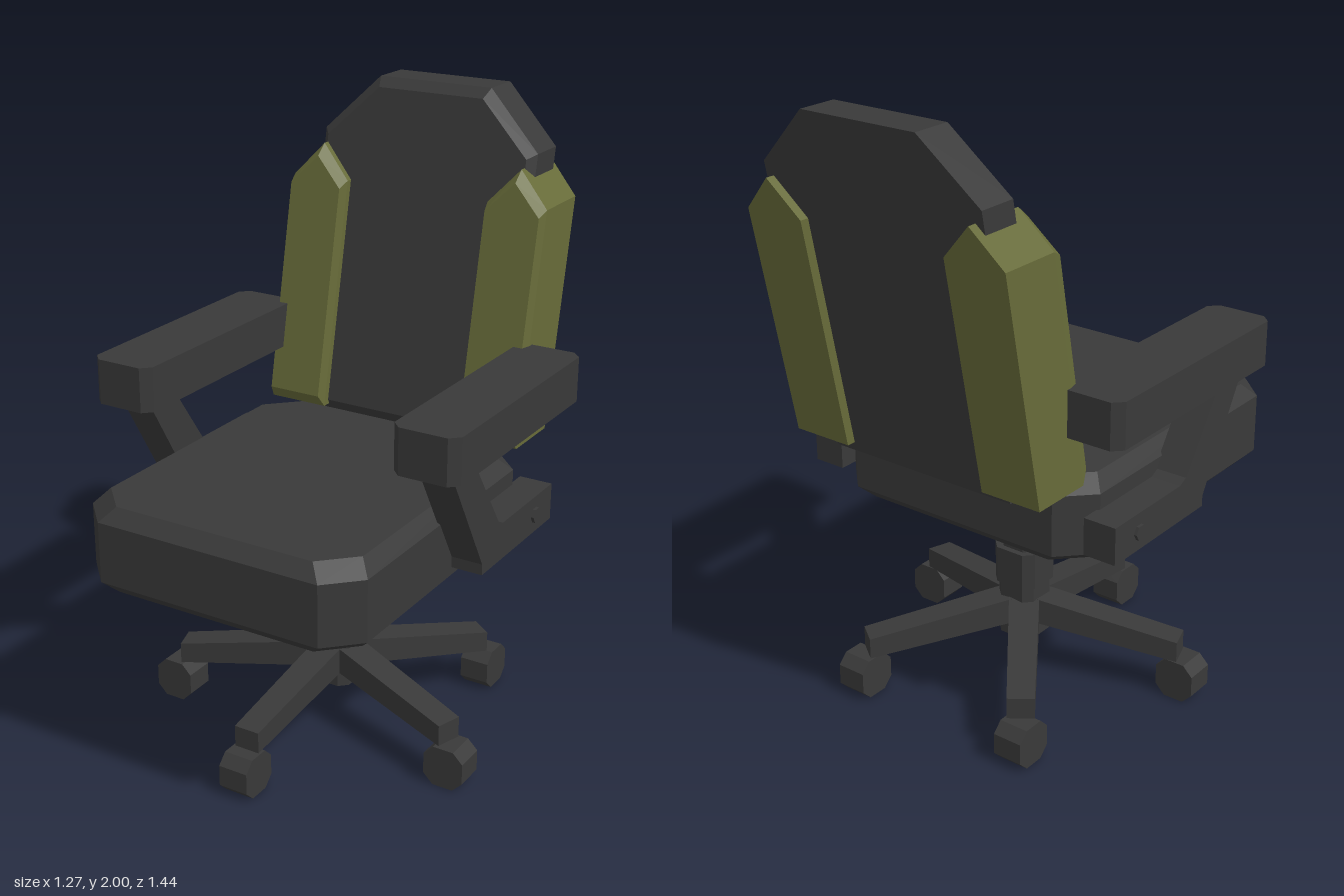
import * as THREE from 'three';

const charcoal = new THREE.MeshStandardMaterial({ name: 'charcoal', color: 0x393939 });
const olive = new THREE.MeshStandardMaterial({ name: 'olive', color: 0x676b39 });

// Closed faceted solid through convex rings of [x, y, z], each counter-clockwise seen from the last ring's side
function loft(rings) {
  const pos = [];
  const tri = (a, b, c) => pos.push(...a, ...b, ...c);
  const n = rings[0].length;
  for (let r = 0; r < rings.length - 1; r++) {
    for (let i = 0; i < n; i++) {
      const j = (i + 1) % n;
      tri(rings[r][i], rings[r][j], rings[r + 1][j]);
      tri(rings[r][i], rings[r + 1][j], rings[r + 1][i]);
    }
  }
  const first = rings[0], last = rings[rings.length - 1];
  for (let i = 1; i < n - 1; i++) {
    tri(first[0], first[i + 1], first[i]);
    tri(last[0], last[i], last[i + 1]);
  }
  const g = new THREE.BufferGeometry();
  g.setAttribute('position', new THREE.Float32BufferAttribute(pos, 3));
  g.computeVertexNormals();
  return g;
}

// Upright block with cut corners; layers are [height, inset]
function cutBlock(hw, hd, cut, layers) {
  return loft(layers.map(([y, inset]) => {
    const w = hw - inset, d = hd - inset;
    return [
      [w, d - cut], [w, -d + cut], [w - cut, -d], [-w + cut, -d],
      [-w, -d + cut], [-w, d - cut], [-w + cut, d], [w - cut, d],
    ].map(([x, z]) => [x, y, z]);
  }));
}

// Ring in the backrest's leaning plane; z is the depth at y = 0.9
const leanRing = (points, z) => points.map(([x, y]) => [x, y, z - 0.2 * (y - 0.9)]);

export function createModel() {
  const model = new THREE.Group();
  model.name = 'officeChair';
  const add = (name, geometry, material = charcoal, x = 0, y = 0, z = 0) => {
    const mesh = new THREE.Mesh(geometry, material);
    mesh.name = name;
    mesh.position.set(x, y, z);
    model.add(mesh);
    return mesh;
  };

  // Seat cushion with bevelled rims
  add('seat', cutBlock(0.48, 0.545, 0.1, [[0.65, 0.04], [0.69, 0], [0.885, 0], [0.93, 0.04]]), charcoal, 0, 0, 0.175);

  // Backrest centre panel
  const panel = (w, bottom) => [[-w, bottom], [w, bottom], [w, 1.755], [-w, 1.755]];
  add('backrest', loft([
    leanRing(panel(0.33, 0.9), -0.5),
    leanRing(panel(0.33, 0.9), -0.375),
    leanRing(panel(0.33, 0.945), -0.343),
  ]));

  // Headrest with angled shoulders and a bevelled front rim
  const head = (w, shoulder, topW, top) =>
    [[-w, 1.75], [w, 1.75], [w, shoulder], [topW, top], [-topW, top], [-w, shoulder]];
  const headOuter = head(0.385, 1.82, 0.2, 2);
  add('headrest', loft([
    leanRing(headOuter, -0.5),
    leanRing(headOuter, -0.37),
    leanRing(head(0.36, 1.805, 0.187, 1.97), -0.343),
  ]));

  // Side bolsters with pointed tops
  const bolster = (w, bottom, shoulder, peak) =>
    [[-w, bottom], [w, bottom], [w, shoulder], [0, peak], [-w, shoulder]];
  const bolsterOuter = bolster(0.102, 0.93, 1.67, 1.78);
  const bolsterGeo = loft([
    leanRing(bolsterOuter, -0.53),
    leanRing(bolsterOuter, -0.322),
    leanRing(bolster(0.093, 0.97, 1.65, 1.745), -0.288),
  ]);

  // Arm pads, bent supports and bolts
  const padGeo = cutBlock(0.107, 0.41, 0.03, [[1.11, 0], [1.255, 0]]);
  const armProfile = new THREE.Shape([
    [-0.34, 1.115], [-0.13, 0.75], [-0.13, 0.715], [0.34, 0.715],
    [0.34, 0.835], [0, 0.835], [-0.03, 0.85], [-0.21, 1.115],
  ].map(([a, b]) => new THREE.Vector2(a, b)));
  const supportGeo = new THREE.ExtrudeGeometry(armProfile, { depth: 0.11, bevelEnabled: false });
  supportGeo.translate(0, 0, -0.055).rotateY(Math.PI / 2);
  const boltGeo = new THREE.CylinderGeometry(0.025, 0.025, 0.03, 6).toNonIndexed();
  boltGeo.computeVertexNormals();
  boltGeo.rotateZ(Math.PI / 2);
  for (const [side, s] of [['left', 1], ['right', -1]]) {
    add(side + 'Bolster', bolsterGeo, olive, s * 0.358);
    add(side + 'ArmPad', padGeo, charcoal, s * 0.527);
    add(side + 'ArmSupport', supportGeo, charcoal, s * 0.527);
    add(side + 'ArmBolt', boltGeo, charcoal, s * 0.577, 0.775, -0.22);
  }

  // Mounting plate and stepped column
  add('mountPlate', cutBlock(0.155, 0.143, 0.045, [[0.57, 0], [0.66, 0]]), charcoal, 0, 0, 0.022);
  add('columnTop', cutBlock(0.06, 0.06, 0.022, [[0.44, 0], [0.58, 0]]));
  add('columnSleeve', cutBlock(0.08, 0.08, 0.03, [[0.33, 0], [0.455, 0]]));
  add('hub', cutBlock(0.07, 0.07, 0.027, [[0.14, 0], [0.335, 0]]));

  // Five tapering legs with casters
  const legRing = (w, bottom, top, z) => [[-w, bottom, z], [w, bottom, z], [w, top, z], [-w, top, z]];
  const legGeo = loft([legRing(0.05, 0.195, 0.285, 0.02), legRing(0.043, 0.135, 0.205, 0.53)]);
  const wheelGeo = cutBlock(0.0675, 0.0675, 0.033, [[-0.05, 0], [0.05, 0]]);
  for (let k = 0; k < 5; k++) {
    const a = (k * 2 * Math.PI) / 5;
    add('leg' + (k + 1), legGeo).rotation.y = a;
    const wheel = add('caster' + (k + 1), wheelGeo, charcoal, 0.54 * Math.sin(a), 0.0675, 0.54 * Math.cos(a));
    if (Math.abs(Math.sin(a)) > 0.9) wheel.rotation.x = Math.PI / 2;
    else wheel.rotation.z = Math.PI / 2;
  }

  return model;
}
